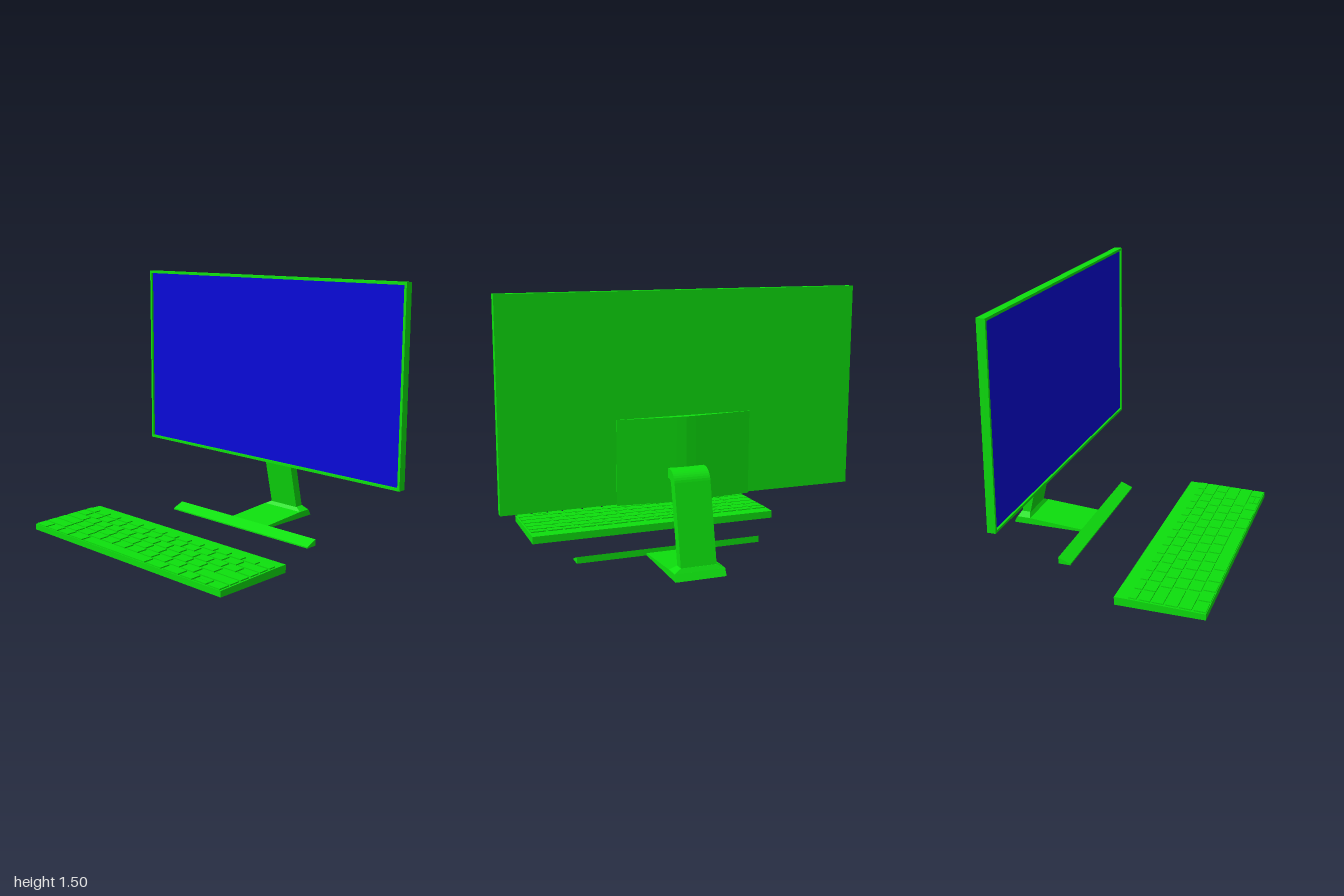
import * as THREE from 'three';
import { ConvexGeometry } from 'three/addons/geometries/ConvexGeometry.js';

const green = new THREE.MeshStandardMaterial({ color: 0x0de00d });
const blue = new THREE.MeshStandardMaterial({ color: 0x0808d8 });

function add(parent, name, geometry, material = green) {
  const mesh = new THREE.Mesh(geometry, material);
  mesh.name = name;
  parent.add(mesh);
  return mesh;
}

const shapeOf = (pts) => new THREE.Shape(pts.map(([x, y]) => new THREE.Vector2(x, y)));

// Side profile (x, y) extruded along z between two limits
function extrudeZ(pts, z0, z1) {
  const g = new THREE.ExtrudeGeometry(shapeOf(pts), { depth: z1 - z0, bevelEnabled: false });
  return g.translate(0, 0, z0);
}

// Box given by its limits on each axis
function boxBetween(x0, x1, y0, y1, z0, z1) {
  return new THREE.BoxGeometry(x1 - x0, y1 - y0, z1 - z0)
    .translate((x0 + x1) / 2, (y0 + y1) / 2, (z0 + z1) / 2);
}

function createMonitor() {
  const monitor = new THREE.Group();
  monitor.name = 'monitor';

  // Housing with a thin raised bezel around the recessed screen (faces -x)
  add(monitor, 'housing', boxBetween(0.395, 0.428, 0.383, 1.503, -1, 1));
  const rim = shapeOf([[-1, 0.383], [1, 0.383], [1, 1.503], [-1, 1.503]]);
  rim.holes.push(shapeOf([[-0.985, 0.398], [-0.985, 1.488], [0.985, 1.488], [0.985, 0.398]]));
  const bezel = new THREE.ExtrudeGeometry(rim, { depth: 0.015, bevelEnabled: false });
  add(monitor, 'bezel', bezel.rotateY(-Math.PI / 2).translate(0.395, 0, 0));
  add(monitor, 'screen', boxBetween(0.392, 0.396, 0.397, 1.489, -0.986, 0.986), blue);

  // Bowed rear cover
  const bow = [[0.42, -0.38], [0.432, -0.38], [0.448, -0.2], [0.461, -0.055], [0.464, 0],
    [0.461, 0.055], [0.448, 0.2], [0.432, 0.38], [0.42, 0.38]];
  const cover = new THREE.ExtrudeGeometry(shapeOf(bow), { depth: 0.462, bevelEnabled: false });
  add(monitor, 'rearCover', cover.rotateX(-Math.PI / 2).translate(0, 0.377, 0));
  return monitor;
}

function createStand() {
  const stand = new THREE.Group();
  stand.name = 'stand';

  // Neck: horizontal arm, rounded elbow and leaning leg
  const neck = new THREE.Shape();
  neck.moveTo(0.455, 0.512);
  neck.lineTo(0.476, 0.512);
  neck.quadraticCurveTo(0.496, 0.51, 0.502, 0.488);
  neck.lineTo(0.6, 0.05);
  neck.lineTo(0.653, 0.05);
  neck.lineTo(0.553, 0.505);
  neck.bezierCurveTo(0.545, 0.54, 0.515, 0.566, 0.48, 0.566);
  neck.lineTo(0.455, 0.566);
  const neckGeometry = new THREE.ExtrudeGeometry(neck,
    { depth: 0.204, bevelEnabled: false, curveSegments: 8 });
  add(stand, 'neck', neckGeometry.translate(0, 0, -0.102));

  // Flared collar joining neck and foot
  const collar = [];
  for (const s of [-1, 1]) {
    for (const [x, y, z] of [[0.58, 0.045, 0.145], [0.665, 0.045, 0.145],
      [0.598, 0.069, 0.103], [0.651, 0.069, 0.103]]) collar.push(new THREE.Vector3(x, y, s * z));
  }
  add(stand, 'collar', new ConvexGeometry(collar));

  // Wedge foot and the long triangular bar in front of it
  add(stand, 'foot', extrudeZ(
    [[0.23, 0.009], [0.685, 0.009], [0.664, 0.047], [0.58, 0.047], [0.23, 0.022]], -0.145, 0.145));
  add(stand, 'footBar', extrudeZ(
    [[0.16, 0.009], [0.232, 0.009], [0.232, 0.047], [0.16, 0.017]], -0.55, 0.55));
  return stand;
}

function createKeyboard() {
  const keyboard = new THREE.Group();
  keyboard.name = 'keyboard';
  const z0 = -0.853, z1 = 0.7;

  // Hollow case: sloped top plate with walls all round, open underneath
  add(keyboard, 'topPlate', extrudeZ(
    [[-0.688, 0.018], [-0.2, 0.028], [-0.2, 0.045], [-0.28, 0.045], [-0.688, 0.034]], z0, z1));
  const side = [[-0.688, 0], [-0.2, 0], [-0.2, 0.045], [-0.28, 0.045], [-0.688, 0.034]];
  add(keyboard, 'sideWall', extrudeZ(side, z0, z0 + 0.02));
  add(keyboard, 'sideWall', extrudeZ(side, z1 - 0.02, z1));
  add(keyboard, 'frontWall', boxBetween(-0.688, -0.668, 0, 0.03, z0, z1));
  add(keyboard, 'backWall', boxBetween(-0.22, -0.2, 0, 0.04, z0, z1));

  // Key rows from the front: [x centre, depth, relative widths]; negative = two half keys
  const ones = (n) => new Array(n).fill(1);
  const rows = [
    [-0.652, 0.064, [1, 1, 1, 1.25, 5.1, 1.25, 1.25, 0.95, -0.95, 0.95]],
    [-0.578, 0.064, [1.75, ...ones(10), 2.4]],
    [-0.504, 0.064, [1.75, ...ones(11), 1.75]],
    [-0.43, 0.06, [1.6, ...ones(12), 1]],
    [-0.36, 0.06, [...ones(13), 1.6]],
    [-0.296, 0.042, ones(15)],
  ];
  const gap = 0.014;
  for (const [x, depth, widths] of rows) {
    const unit = (z1 - z0 - 0.006) / widths.reduce((sum, w) => sum + Math.abs(w), 0);
    const top = 0.041 + (x + 0.688) * 0.026;
    let z = z0 + 0.003;
    for (const w of widths) {
      const length = Math.abs(w) * unit;
      const parts = w < 0 ? [-1, 1] : [0];
      for (const p of parts) {
        const d = p ? depth / 2 - 0.005 : depth;
        const key = add(keyboard, 'key', new THREE.BoxGeometry(d, 0.028, length - gap));
        key.position.set(x + p * depth / 4, top - 0.014, z + length / 2);
        key.rotation.z = 0.026;
      }
      z += length;
    }
  }
  return keyboard;
}

export function createModel() {
  const model = new THREE.Group();
  model.name = 'desktopComputer';
  model.add(createMonitor(), createStand(), createKeyboard());
  return model;
}
